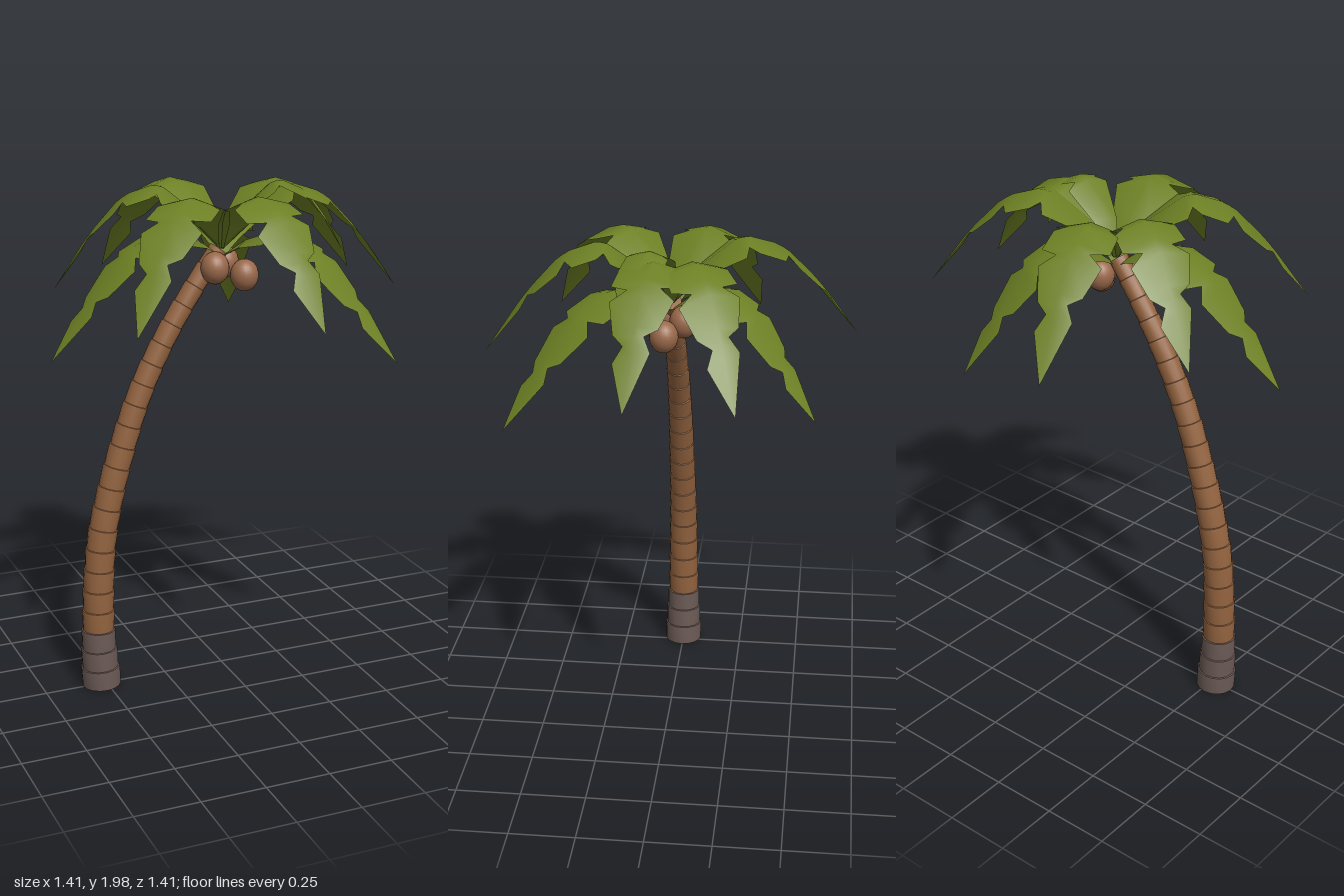
import * as THREE from 'three';
import { toCreasedNormals } from 'three/addons/utils/BufferGeometryUtils.js';

const material = (name, color, side = THREE.FrontSide) => {
  const m = new THREE.MeshStandardMaterial({ color, side });
  m.name = name;
  return m;
};

// Half-width of a frond along its length: [fraction, half-width], with notches between leaflets
const OUTLINE = [
  [0, 0.01], [0.17, 0.075], [0.36, 0.135], [0.39, 0.075], [0.43, 0.12], [0.56, 0.125],
  [0.60, 0.06], [0.64, 0.115], [0.77, 0.08], [0.81, 0.035], [0.85, 0.065], [1, 0],
];

// Arching profiles: [distance from crown, height]
const HIGH = [[0, 1.74], [0.12, 1.89], [0.27, 1.975], [0.41, 1.93], [0.55, 1.79], [0.72, 1.555]];
const LOW = [[0, 1.71], [0.12, 1.79], [0.25, 1.83], [0.4, 1.76], [0.55, 1.6], [0.72, 1.38]];
const YOUNG = [[0, 1.76], [0.08, 1.89], [0.22, 1.995], [0.33, 1.95], [0.41, 1.85], [0.48, 1.72]];

// Rebuilds a grid of rows (each an array of points) as a surface
function gridGeometry(rows, crease) {
  const n = rows[0].length, index = [];
  for (let i = 0; i < rows.length - 1; i++) {
    for (let j = 0; j < n - 1; j++) {
      const a = i * n + j, b = a + n;
      index.push(a, a + 1, b, a + 1, b + 1, b);
    }
  }
  const g = new THREE.BufferGeometry();
  g.setAttribute('position', new THREE.Float32BufferAttribute(rows.flat(2), 3));
  g.setIndex(index);
  return toCreasedNormals(g, crease);
}

// One frond along +x, folded along its midrib
function frondGeometry(profile, length, widthScale) {
  const reach = profile[profile.length - 1][0];
  const curve = new THREE.CatmullRomCurve3(
    profile.map(([r, y]) => new THREE.Vector3(r * length / reach, y, 0)));
  const rows = OUTLINE.map(([t, w]) => {
    const half = w * widthScale;
    const edge = (s) => {
      const p = curve.getPoint(Math.min(1, Math.max(0, t + s * 0.02 * Math.sign(half) * t)));
      return [p.x, p.y - half * 0.28, s * half];
    };
    const rib = curve.getPoint(t);
    return [edge(-1), [rib.x, rib.y, 0], edge(1)];
  });
  return gridGeometry(rows, 0.6);
}

// Part of the trunk between two fractions of its curve, with slightly flared rings
function trunkGeometry(curve, radiusAt, from, to, rings) {
  const sides = 16, rows = [];
  const side = new THREE.Vector3(0, 0, 1);
  for (let i = 0; i < rings; i++) {
    for (const [f, flare] of [[0, 0.97], [0.85, 1.04], [0.98, 1.04]]) {
      const t = from + (to - from) * (i + f) / rings;
      const p = curve.getPointAt(t), tan = curve.getTangentAt(t);
      const across = new THREE.Vector3().crossVectors(tan, side).normalize();
      const r = radiusAt(t) * flare;
      rows.push(Array.from({ length: sides + 1 }, (_, j) => {
        const a = -(j / sides) * Math.PI * 2;
        return p.clone().addScaledVector(across, Math.cos(a) * r)
          .addScaledVector(side, Math.sin(a) * r).toArray();
      }));
    }
  }
  // Close both ends
  const cap = (t) => Array(sides + 1).fill(curve.getPointAt(t).toArray());
  return gridGeometry([cap(from), ...rows, cap(to)], 0.9);
}

export function createModel() {
  const model = new THREE.Group();
  model.name = 'palmTree';
  const bark = material('bark', 0x93633f, THREE.DoubleSide);
  const darkBark = material('darkBark', 0x6b5a55, THREE.DoubleSide);
  const leaf = material('leaf', 0x6d8024, THREE.DoubleSide);
  const shell = material('coconutShell', 0x99684a);

  const add = (name, geometry, mat, parent = model) => {
    const mesh = new THREE.Mesh(geometry, mat);
    mesh.name = name;
    parent.add(mesh);
    return mesh;
  };

  // Leaning trunk
  const path = new THREE.CatmullRomCurve3([
    [-0.52, 0.015], [-0.528, 0.25], [-0.51, 0.6], [-0.47, 0.8], [-0.412, 1.0],
    [-0.34, 1.2], [-0.24, 1.4], [-0.112, 1.6], [-0.01, 1.74],
  ].map(([x, y]) => new THREE.Vector3(x, y, 0)));
  const radiusAt = (t) => t < 0.13
    ? THREE.MathUtils.lerp(0.079, 0.064, t / 0.13)
    : THREE.MathUtils.lerp(0.063, 0.036, (t - 0.13) / 0.87);
  add('trunkBase', trunkGeometry(path, radiusAt, 0, 0.13, 3), darkBark);
  add('trunk', trunkGeometry(path, radiusAt, 0.13, 1, 19), bark);

  // Crown of fronds: [tip x, tip z, profile, width scale]
  const crown = new THREE.Group();
  crown.name = 'crown';
  model.add(crown);
  [
    [-0.24, -0.71, HIGH, 1], [0.69, -0.29, HIGH, 1], [0.70, 0.10, HIGH, 1],
    [0.10, 0.70, HIGH, 1], [-0.53, 0.51, HIGH, 1], [-0.58, -0.31, HIGH, 1],
    [0.27, -0.56, LOW, 0.9], [0.46, 0.57, LOW, 0.95], [-0.71, 0.07, LOW, 0.95],
    [0.45, 0.13, YOUNG, 0.65],
  ].forEach(([x, z, profile, width], i) => {
    const frond = add('frond' + (i + 1), frondGeometry(profile, Math.hypot(x, z), width), leaf, crown);
    frond.rotation.y = -Math.atan2(z, x);
  });

  // Coconuts under the crown
  [[-0.045, 1.675, 0.045], [0.088, 1.632, 0.02], [0.035, 1.675, -0.05]].forEach(([x, y, z], i) => {
    const nut = add('coconut' + (i + 1), new THREE.SphereGeometry(0.055, 20, 14), shell);
    nut.scale.y = 1.13;
    nut.position.set(x, y, z);
  });

  return model;
}
